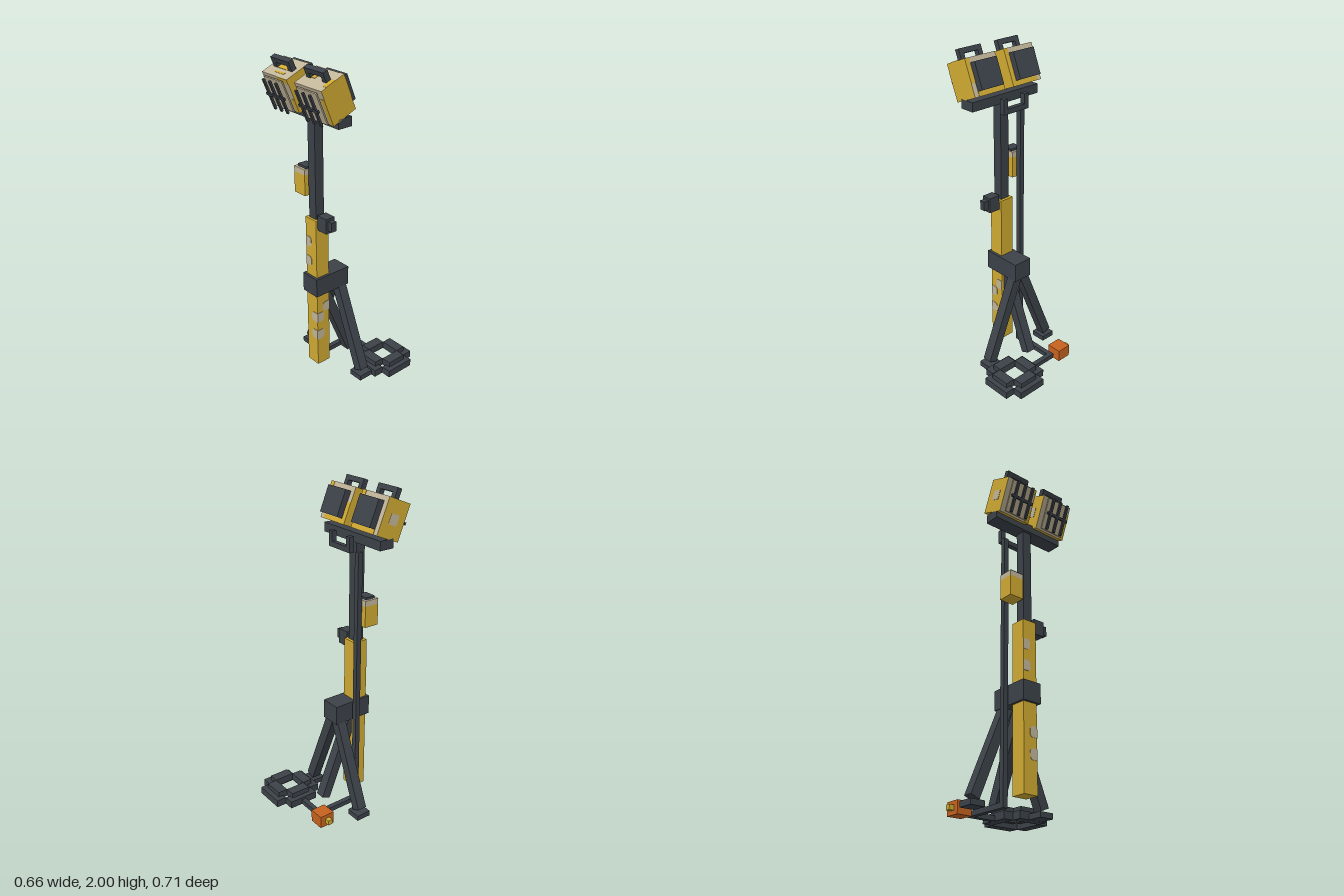
import * as THREE from 'three';

const mat = (name, hex) => {
  const m = new THREE.MeshStandardMaterial({ color: hex });
  m.name = name;
  return m;
};

export function createModel() {
  const yellow = mat('yellow paint', 0xd0aa32);
  const cream = mat('worn cream', 0xc2b699);
  const dark = mat('dark steel', 0x3c4249);
  const orange = mat('orange plug', 0xc6621f);
  const root = new THREE.Group();
  root.name = 'floodlightMast';

  // Box from its minimum and maximum corners
  const box = (name, material, x0, x1, y0, y1, z0, z1, parent = root) => {
    const mesh = new THREE.Mesh(new THREE.BoxGeometry(x1 - x0, y1 - y0, z1 - z0), material);
    mesh.position.set((x0 + x1) / 2, (y0 + y1) / 2, (z0 + z1) / 2);
    mesh.name = name;
    parent.add(mesh);
    return mesh;
  };

  // Square beam between two points
  const beam = (name, a, b, w) => {
    const from = new THREE.Vector3(...a), to = new THREE.Vector3(...b);
    const dir = to.clone().sub(from);
    const mesh = new THREE.Mesh(new THREE.BoxGeometry(w, dir.length(), w), dark);
    mesh.position.copy(from).add(to).multiplyScalar(0.5);
    mesh.quaternion.setFromUnitVectors(new THREE.Vector3(0, 1, 0), dir.normalize());
    mesh.name = name;
    root.add(mesh);
  };

  // Mast, collar and telescopic tube
  box('lowerMast', yellow, -0.097, -0.003, 0.065, 1.073, 0.107, 0.2);
  box('upperMast', dark, -0.08, -0.02, 1.02, 1.735, 0.125, 0.185);
  box('collar', dark, -0.112, 0.014, 0.575, 0.695, -0.035, 0.216);

  // Worn paint spots on the mast: clipped-corner plates
  const spotShape = new THREE.Shape();
  [[-0.025, -0.018], [-0.013, -0.032], [0.025, -0.032], [0.025, 0.032], [-0.013, 0.032], [-0.025, 0.018]]
    .forEach(([x, y], i) => (i ? spotShape.lineTo(x, y) : spotShape.moveTo(x, y)));
  const spotGeo = new THREE.ExtrudeGeometry(spotShape, { depth: 0.002, bevelEnabled: false });
  const spot = (x, y, z, ry, rz) => {
    const m = new THREE.Mesh(spotGeo, cream);
    m.position.set(x, y, z);
    m.rotation.set(0, ry, rz);
    m.name = 'paintSpot';
    root.add(m);
  };
  for (const y of [0.92, 0.79]) spot(-0.072, y, 0.2, 0, Math.PI);
  for (const y of [0.41, 0.285]) {
    spot(-0.028, y, 0.2, 0, 0);
    spot(-0.003, y, 0.175, Math.PI / 2, Math.PI);
  }
  spot(-0.003, 0.475, 0.132, Math.PI / 2, 0);

  // Tripod legs and feet
  const mid = -0.049;
  for (const s of [-1, 1]) {
    beam('sideLeg', [mid + s * 0.241, 0.05, 0.01], [mid + s * 0.012, 0.61, 0.01], 0.06);
    box('foot', dark, mid + s * 0.237 - 0.047, mid + s * 0.237 + 0.047, 0, 0.033, -0.037, 0.057);
  }
  beam('backLeg', [-0.05, 0.052, -0.091], [-0.05, 0.61, 0.138], 0.06);

  // Power cable up the mast and along the ground
  box('cableRiser', dark, -0.16, -0.129, 0, 1.643, 0.075, 0.106);
  box('groundCable', dark, -0.16, -0.129, 0, 0.03, -0.21, 0.075);
  box('groundCable', dark, -0.129, 0.03, 0, 0.03, -0.21, -0.179);
  box('plug', orange, -0.254, -0.16, 0, 0.078, -0.26, -0.165);
  box('plugPin', yellow, -0.285, -0.254, 0.024, 0.054, -0.226, -0.196);

  // Coiled cable: two stacked square rings with open corners
  const cx = 0.173, cz = -0.196;
  const ring = (half, inner, outer, y0, y1) => {
    for (const s of [-1, 1]) {
      const near = Math.min(s * inner, s * outer), far = Math.max(s * inner, s * outer);
      box('cableCoil', dark, cx - half, cx + half, y0, y1, cz + near, cz + far);
      box('cableCoil', dark, cx + near, cx + far, y0, y1, cz - half, cz + half);
    }
  };
  ring(0.095, 0.095, 0.158, 0, 0.046);
  ring(0.063, 0.063, 0.126, 0.03, 0.078);

  // Control box and locking knob
  box('controlBox', yellow, -0.191, -0.097, 1.2, 1.328, 0.107, 0.2);
  box('controlBoxRim', cream, -0.191, -0.097, 1.328, 1.362, 0.107, 0.2);
  box('controlBoxCap', dark, -0.176, -0.1, 1.362, 1.376, 0.122, 0.185);
  box('knobBase', dark, -0.003, 0.072, 1.013, 1.107, 0.124, 0.187);
  box('knob', dark, 0.072, 0.105, 1.033, 1.092, 0.138, 0.173);

  // Crossbar and rear bracket
  box('crossbar', dark, -0.3, 0.2, 1.68, 1.735, 0.109, 0.202);
  box('rearBracket', dark, -0.143, 0.045, 1.645, 1.676, 0.026, 0.056);
  for (const x of [-0.143, 0.014])
    box('rearBracketPost', dark, x, x + 0.031, 1.676, 1.735, 0.026, 0.056);

  // Tilted lamp heads
  const lamp = (x, name) => {
    const g = new THREE.Group();
    g.name = name;
    g.position.set(x, 1.837, 0.199);
    g.rotation.x = Math.PI / 8;
    root.add(g);
    const body = box('lampBody', yellow, -0.109, 0.109, -0.108, 0.108, -0.081, 0.081, g);
    body.material = [yellow, yellow, cream, yellow, cream, cream];
    box('lens', cream, -0.08, 0.08, -0.098, 0.098, 0.09, 0.098, g);
    box('lensMount', cream, -0.04, 0.04, -0.04, 0.04, 0.081, 0.09, g);
    box('rearHousing', dark, -0.079, 0.079, -0.079, 0.079, -0.121, -0.081, g);
    // Guard bars
    for (const bx of [-0.055, 0, 0.055])
      box('guardBar', dark, bx - 0.008, bx + 0.008, -0.098, 0.098, 0.113, 0.125, g);
    box('guardCrossbar', dark, -0.079, 0.079, -0.008, 0.008, 0.113, 0.125, g);
    // Carrying handle
    box('handle', dark, -0.079, 0.079, 0.138, 0.168, -0.016, 0.016, g);
    for (const s of [-1, 1])
      box('handlePost', dark, s * 0.064 - 0.015, s * 0.064 + 0.015, 0.108, 0.138, -0.016, 0.016, g);
    return g;
  };
  const right = lamp(-0.191, 'rightLamp');
  const left = lamp(0.091, 'leftLamp');

  // Painted patches, in lamp coordinates
  const e = 0.002;
  const front = (g, x0, x1, y0, y1, z = 0.081) => box('frontPatch', yellow, x0, x1, y0, y1, z, z + e, g);
  const top = (g, x0, x1, z0, z1) => box('topPatch', yellow, x0, x1, 0.108, 0.108 + e, z0, z1, g);
  const back = (g, x0, x1, y0, y1) => box('backPatch', yellow, x0, x1, y0, y1, -0.081 - e, -0.081, g);
  const side = (g, s, y0, y1, z0, z1) =>
    box('sidePatch', cream, s * 0.11 - 0.001, s * 0.11 + 0.001, y0, y1, z0, z1, g);
  front(right, 0.02, 0.109, 0.078, 0.108);
  front(right, 0.08, 0.109, -0.108, -0.02);
  front(left, 0.08, 0.109, -0.108, 0.055);
  top(right, -0.046, 0.047, -0.02, 0.016);
  top(right, -0.03, 0.05, 0.04, 0.053);
  top(left, -0.079, -0.02, -0.02, 0.01);
  top(left, 0.079, 0.109, -0.02, 0.045);
  back(right, 0.079, 0.109, -0.108, 0.108);
  back(left, 0.079, 0.109, -0.03, 0.108);
  back(left, -0.109, -0.079, -0.108, 0.02);
  for (const g of [right, left]) {
    back(g, -0.079, 0.079, -0.108, -0.08);
    side(g, -1, -0.03, 0.03, -0.03, 0.03);
  }

  return root;
}
